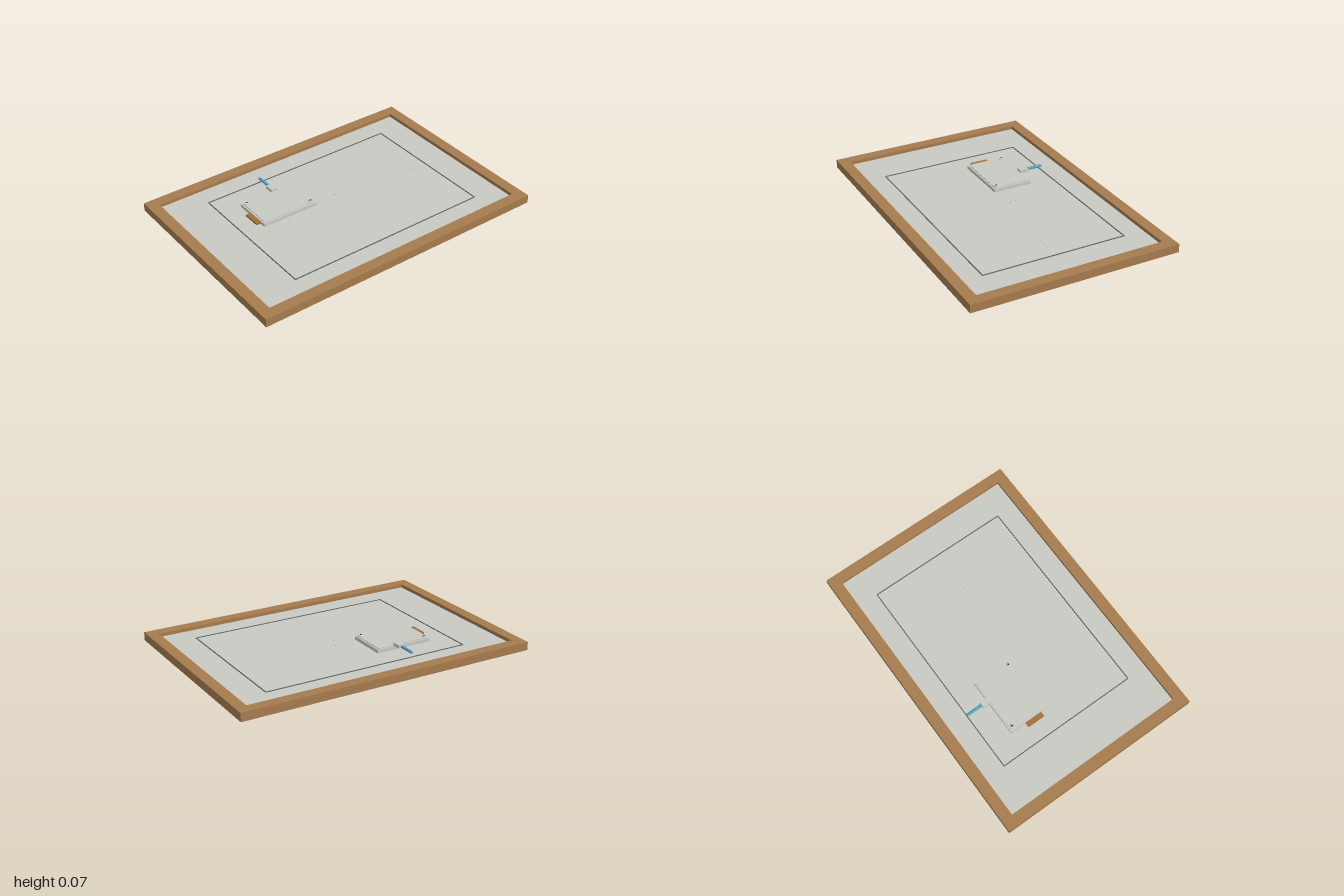
import * as THREE from 'three';

const mat = (name, color) => {
  const m = new THREE.MeshStandardMaterial({ color });
  m.name = name;
  return m;
};

export function createModel() {
  const model = new THREE.Group();
  model.name = 'framedBoard';
  const wood = mat('wood', 0xa67c4e);
  const pale = mat('paleGrey', 0xc9c9c4);
  const line = mat('lineGrey', 0x666663);
  const black = mat('black', 0x1c1c1c);
  const blue = mat('blue', 0x4aa6c8);
  const tan = mat('tan', 0xa5703c);

  // Box given by its limits on each axis
  const box = (name, material, [x0, x1], [y0, y1], [z0, z1], parent = model) => {
    const mesh = new THREE.Mesh(new THREE.BoxGeometry(x1 - x0, y1 - y0, z1 - z0), material);
    mesh.position.set((x0 + x1) / 2, (y0 + y1) / 2, (z0 + z1) / 2);
    mesh.name = name;
    parent.add(mesh);
    return mesh;
  };

  // Wooden frame around a recessed panel
  const H = 0.055;
  for (const s of [-1, 1]) {
    const z = [s * 0.928, s].sort((a, b) => a - b);
    const x = [s * 0.617, s * 0.69].sort((a, b) => a - b);
    box(s > 0 ? 'frontRail' : 'backRail', wood, [-0.69, 0.69], [0, H], z);
    box(s > 0 ? 'leftRail' : 'rightRail', wood, x, [0, H], [-0.928, 0.928]);
  }
  const P = 0.032;
  box('panel', pale, [-0.617, 0.617], [0.016, P], [-0.928, 0.928]);

  // Thin border rectangle on the panel
  const border = new THREE.Group();
  border.name = 'border';
  model.add(border);
  const w = 0.003, top = P + 0.004;
  for (const x of [-0.478, 0.478])
    box('borderSide', line, [x - w, x + w], [P, top], [-0.735, 0.655], border);
  for (const z of [-0.735, 0.655])
    box('borderEnd', line, [-0.478, 0.478], [P, top], [z - w, z + w], border);

  // Faint dotted centre lines
  const dots = new THREE.Group();
  dots.name = 'centreDots';
  model.add(dots);
  const d = 0.0012;
  const dot = (x, z) =>
    box('dot', line, [x - d, x + d], [P, P + 0.001], [z - d, z + d], dots);
  for (let i = -11; i <= 11; i++) dot(i * 0.04, -0.04);
  for (let i = -16; i <= 16; i++) if (i % 4) dot(0, -0.04 + i * 0.04);

  // Raised case with a slightly smaller lid
  box('caseBody', pale, [-0.322, -0.053], [P, 0.054], [0.122, 0.514]);
  box('caseLid', pale, [-0.311, -0.063], [0.054, 0.059], [0.133, 0.503]);

  // Low studs at two opposite lid corners, each with a dark tip
  for (const [x, z] of [[-0.295, 0.486], [-0.079, 0.149]]) {
    const stud = new THREE.Group();
    stud.name = 'stud';
    stud.position.set(x, 0.059, z);
    const dome = new THREE.Mesh(
      new THREE.SphereGeometry(0.015, 16, 6, 0, Math.PI * 2, 0, Math.PI / 2), pale);
    dome.scale.y = 0.6;
    dome.name = 'studDome';
    const tip = new THREE.Mesh(new THREE.CylinderGeometry(0.005, 0.006, 0.003, 12), black);
    tip.position.y = 0.009;
    tip.name = 'studTip';
    stud.add(dome, tip);
    model.add(stud);
  }

  // Plug and blue cable on the right side of the case
  box('plug', pale, [-0.37, -0.31], [0.054, 0.074], [0.246, 0.29]);
  const cable = new THREE.Mesh(new THREE.CapsuleGeometry(0.0095, 0.101, 6, 14), blue);
  cable.rotation.z = Math.PI / 2;
  cable.position.set(-0.422, 0.064, 0.268);
  cable.name = 'cable';
  model.add(cable);

  // Tab at the front of the case
  box('frontTab', tan, [-0.212, -0.094], [P + 0.004, 0.049], [0.51, 0.546]);

  return model;
}
